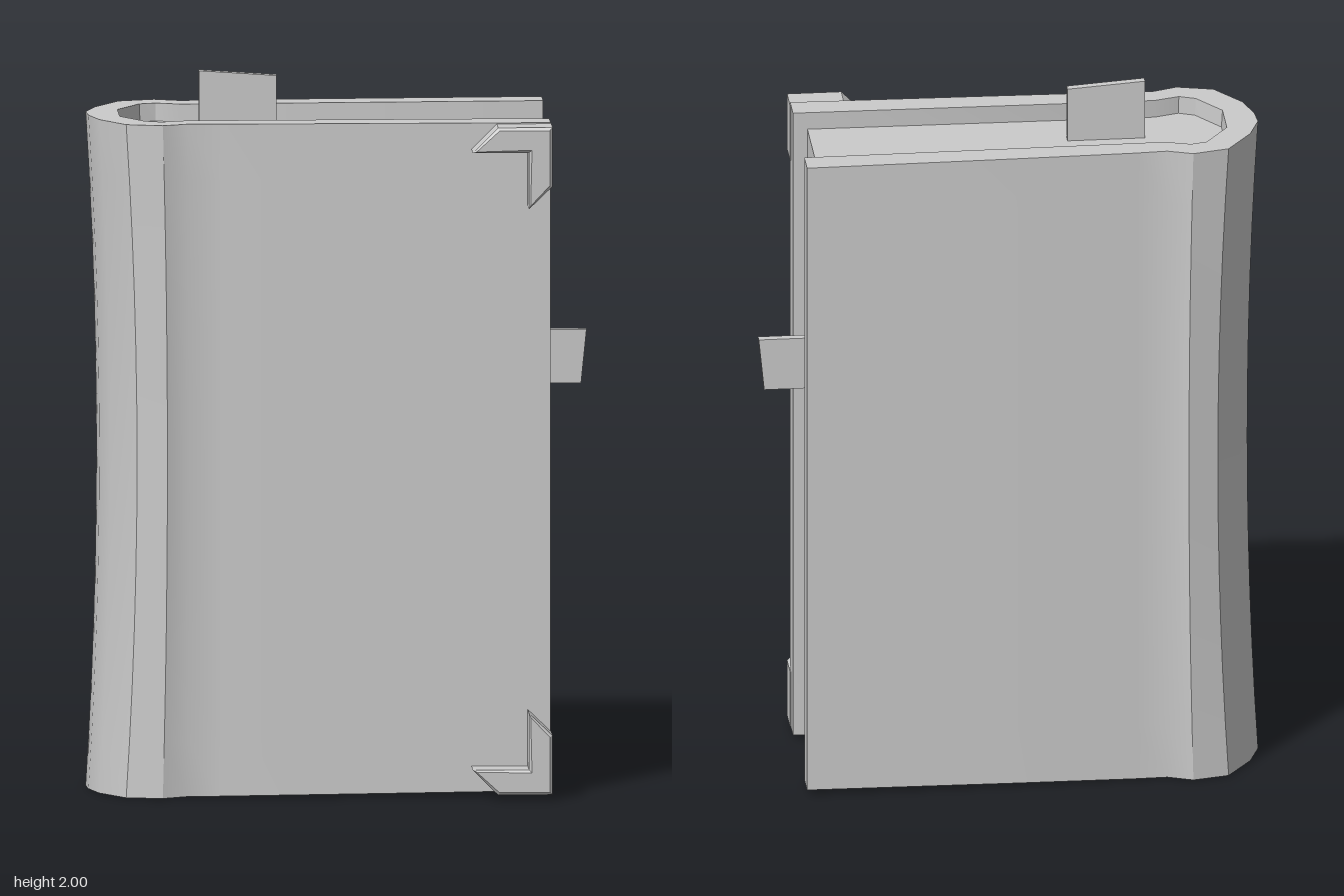
import * as THREE from 'three';
import { toCreasedNormals } from 'three/addons/utils/BufferGeometryUtils.js';

const grey = new THREE.MeshStandardMaterial({ color: 0xcccccc });
const HEIGHT = 1.88;

// Horizontal cross-sections as [x, z], running from the back board round the spine to the front board
const outer = [
  [0.58, -0.27], [0, -0.262], [-0.33, -0.255], [-0.42, -0.25], [-0.49, -0.275], [-0.59, -0.25],
  [-0.66, -0.15], [-0.69, -0.065], [-0.685, -0.005], [-0.66, 0.075], [-0.59, 0.17], [-0.49, 0.195],
  [-0.42, 0.17], [-0.33, 0.175], [0, 0.183], [0.58, 0.195],
];
const inner = [
  [0.58, -0.195], [-0.42, -0.185], [-0.49, -0.207], [-0.535, -0.195], [-0.6, -0.1],
  [-0.6, 0.02], [-0.535, 0.11], [-0.49, 0.128], [-0.42, 0.107], [0.58, 0.118],
];

const shapeFrom = (points) => new THREE.Shape(points.map(([x, y]) => new THREE.Vector2(x, y)));

// Extrudes an xz outline upwards, then bows the spine inwards at mid height
function bookSolid(outline, bottom, top) {
  const g = new THREE.ExtrudeGeometry(shapeFrom(outline.map(([x, z]) => [x, -z])), {
    depth: top - bottom, steps: 12, bevelEnabled: false,
  });
  g.rotateX(-Math.PI / 2);
  g.translate(0, bottom, 0);
  const p = g.attributes.position;
  for (let i = 0; i < p.count; i++) {
    const x = p.getX(i), y = p.getY(i);
    const t = (2 * y) / HEIGHT - 1;
    const weight = THREE.MathUtils.clamp((-0.44 - x) / 0.12, 0, 1);
    p.setX(i, x + 0.03 * weight * (1 - t * t));
    // lower edge rises slightly towards the opening side
    p.setY(i, y + 0.016 * ((x + 0.69) / 1.27) * (1 - y / HEIGHT));
  }
  return toCreasedNormals(g, 0.5);
}

function addMesh(parent, name, geometry) {
  const mesh = new THREE.Mesh(geometry, grey);
  mesh.name = name;
  parent.add(mesh);
  return mesh;
}

// Flat plate in the xy plane between two depths
function plate(points, z0, z1, bevel = 0) {
  const g = new THREE.ExtrudeGeometry(shapeFrom(points), {
    depth: z1 - z0 - bevel, bevelEnabled: bevel > 0, bevelThickness: bevel,
    bevelSize: bevel, bevelOffset: -bevel, bevelSegments: 1,
  });
  g.translate(0, 0, z0);
  return g;
}

export function createModel() {
  const book = new THREE.Group();
  book.name = 'book';

  // Cover: two boards joined by a rounded spine
  addMesh(book, 'cover', bookSolid([...outer, ...inner.slice().reverse()], 0, HEIGHT));

  // Page block, recessed at the top, bottom and opening side
  const pages = inner.map(([x, z]) => [Math.min(x, 0.54), z]);
  addMesh(book, 'pages', bookSolid(pages, 0.055, 1.83));

  // Thin page markers
  addMesh(book, 'topMarker',
    plate([[-0.38, 1.8], [-0.165, 1.8], [-0.165, 1.985], [-0.38, 2]], -0.035, -0.012));
  addMesh(book, 'sideMarker',
    plate([[0.5, 1.12], [0.675, 1.12], [0.69, 1.27], [0.5, 1.27]], -0.035, -0.012));

  // Corner guards on the front board, as offsets from the corner
  const guard = [[0, 0], [0, 0.165], [-0.065, 0.228], [-0.065, 0.07], [-0.22, 0.07], [-0.15, 0]];
  addMesh(book, 'bottomCornerGuard',
    plate(guard.map(([x, y]) => [0.582 + x, 0.015 + y]), 0.18, 0.27, 0.008));
  addMesh(book, 'topCornerGuard',
    plate(guard.map(([x, y]) => [0.582 + x, 1.877 - y]), 0.18, 0.27, 0.008));

  return book;
}
